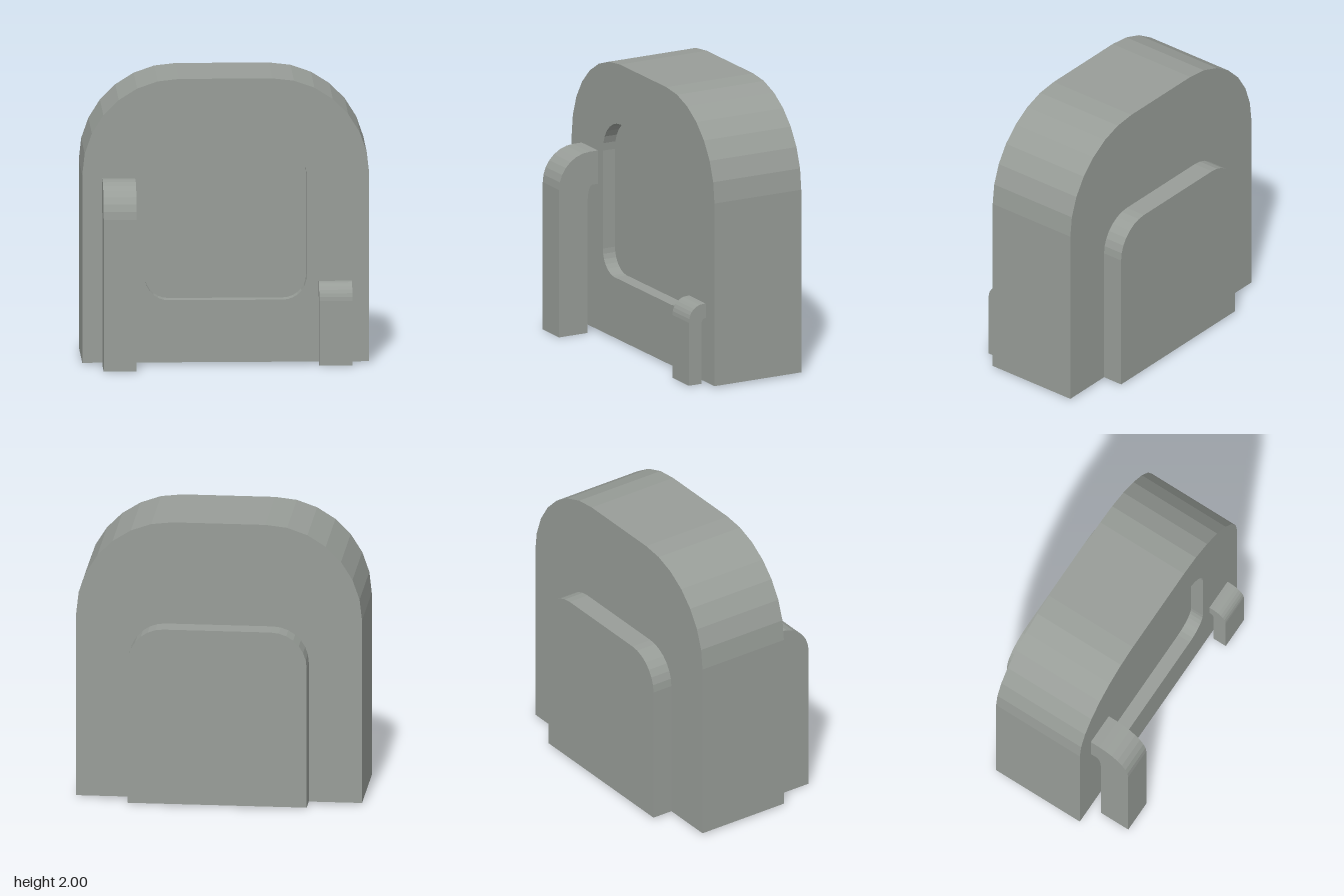
import * as THREE from 'three';

const stone = new THREE.MeshStandardMaterial({ color: 0x989d98 });
stone.name = 'stone grey';

// Points of a quarter arc, angles in quarter turns
function arc(cx, cy, rx, ry, from, to, steps) {
  const pts = [];
  for (let i = 0; i <= steps; i++) {
    const a = (from + (to - from) * i / steps) * Math.PI / 2;
    pts.push(new THREE.Vector2(cx + rx * Math.cos(a), cy + ry * Math.sin(a)));
  }
  return pts;
}

// Symmetric panel outline with separate top and bottom corner radii
function panel(w, y0, y1, rTop, rBottom, steps) {
  const bottom = (side) => rBottom > 0
    ? (side > 0
      ? arc(w - rBottom, y0 + rBottom, rBottom, rBottom, 3, 4, steps)
      : arc(-w + rBottom, y0 + rBottom, rBottom, rBottom, 2, 3, steps))
    : [new THREE.Vector2(side * w, y0)];
  return [
    ...bottom(1),
    ...arc(w - rTop, y1 - rTop, rTop, rTop, 0, 1, steps),
    ...arc(-w + rTop, y1 - rTop, rTop, rTop, 1, 2, steps),
    ...bottom(-1),
  ];
}

function slab(name, points, z0, z1, hole) {
  const shape = new THREE.Shape(points);
  if (hole) shape.holes.push(new THREE.Path(hole));
  const geo = new THREE.ExtrudeGeometry(shape, { depth: z1 - z0, bevelEnabled: false });
  geo.translate(0, 0, z0);
  const mesh = new THREE.Mesh(geo, stone);
  mesh.name = name;
  return mesh;
}

// Bent bar: leaves the front wall, curves over and drops to the ground
function hook(name, o) {
  const wall = 0.26;
  const profile = new THREE.Shape([
    new THREE.Vector2(o.inner, o.foot),
    new THREE.Vector2(o.outer, o.foot),
    ...arc(o.outer - o.rz, o.top - o.ry, o.rz, o.ry, 0, 1, 7),
    new THREE.Vector2(wall, o.top),
    new THREE.Vector2(wall, o.under),
    ...arc(o.inner - o.iz, o.under - o.iy, o.iz, o.iy, 1, 0, 5),
  ]);
  const geo = new THREE.ExtrudeGeometry(profile, { depth: o.x1 - o.x0, bevelEnabled: false });
  geo.rotateY(-Math.PI / 2); // profile x becomes z, depth runs towards -x
  geo.translate(o.x1, 0, 0);
  const mesh = new THREE.Mesh(geo, stone);
  mesh.name = name;
  return mesh;
}

export function createModel() {
  const model = new THREE.Group();
  model.name = 'roundedPack';

  // Main body, with a shallow rounded recess in the front
  const outline = panel(0.993, 0.015, 2.0, 0.67, 0, 7);
  const recess = panel(0.56, 0.45, 1.57, 0.25, 0.165, 7);
  model.add(slab('body', outline, -0.425, 0.17));
  model.add(slab('frontFrame', outline, 0.17, 0.267, recess));

  // Raised plate on the back
  model.add(slab('backPlate', panel(0.623, 0.015, 1.27, 0.25, 0, 7), -0.577, -0.425));

  // Tall hook on the right, short hook on the left
  model.add(hook('tallHook', {
    x0: -0.855, x1: -0.627, foot: 0.003, top: 1.305, under: 1.065,
    inner: 0.35, outer: 0.577, rz: 0.24, ry: 0.24, iz: 0.035, iy: 0.12,
  }));
  model.add(hook('shortHook', {
    x0: 0.643, x1: 0.872, foot: 0.007, top: 0.58, under: 0.475,
    inner: 0.302, outer: 0.402, rz: 0.11, ry: 0.12, iz: 0.02, iy: 0.05,
  }));

  return model;
}
